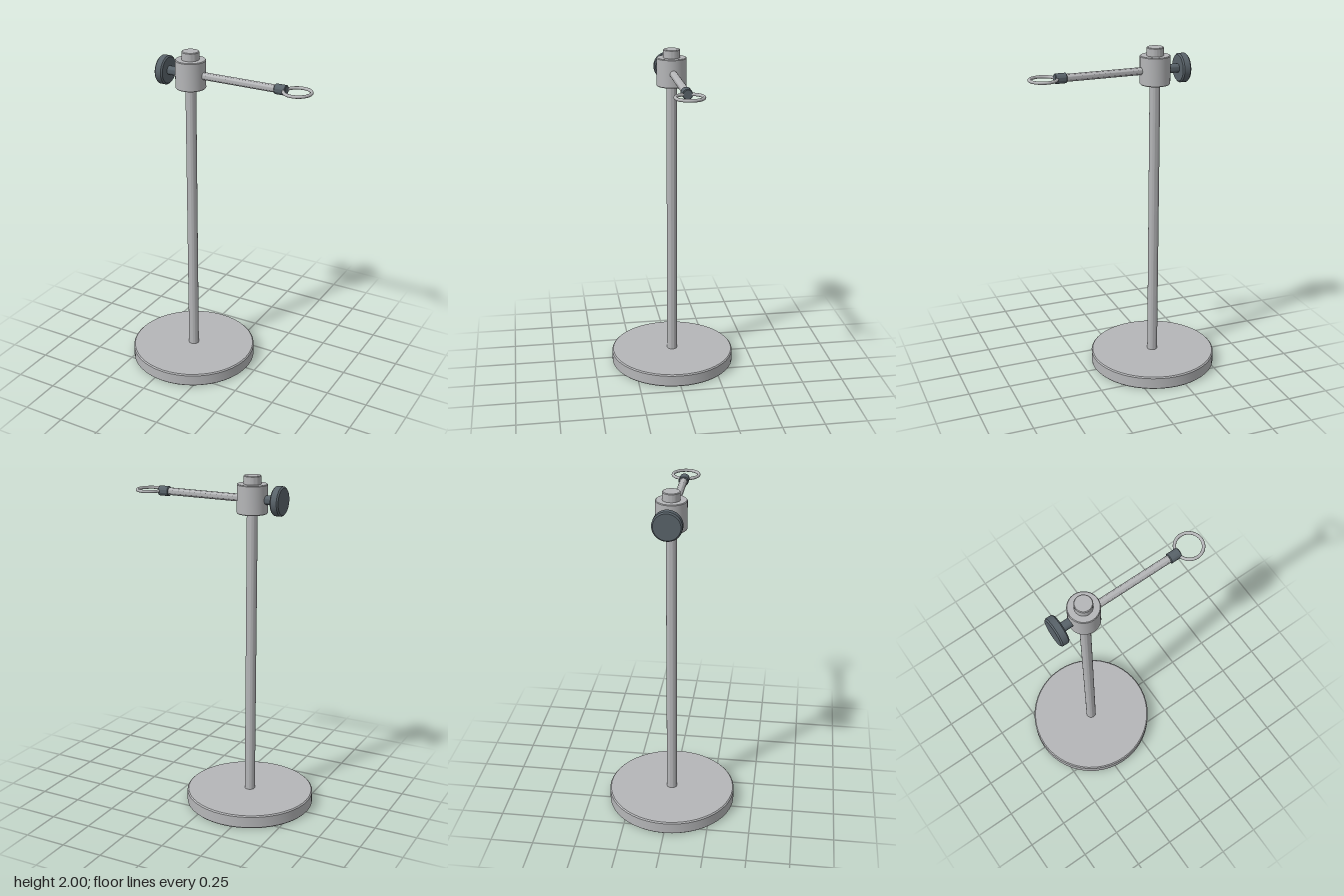
import * as THREE from 'three';
import { toCreasedNormals } from 'three/addons/utils/BufferGeometryUtils.js';

const POST_X = -0.186; // axis of base, post and clamp
const ARM_Y = 1.867; // height of the arm and knob axis

// Solid disc or rod along y from y0 to y1, with small chamfered rims
function turned(radius, y0, y1, bevel, segments = 48) {
  const profile = [
    [0, y0], [radius - bevel, y0], [radius, y0 + bevel],
    [radius, y1 - bevel], [radius - bevel, y1], [0, y1],
  ].map(([r, y]) => new THREE.Vector2(r, y));
  return toCreasedNormals(new THREE.LatheGeometry(profile, segments), 0.6);
}

export function createModel() {
  const model = new THREE.Group();
  model.name = 'ringStand';

  const steel = new THREE.MeshStandardMaterial({ color: 0xb5b6b8 });
  steel.name = 'steel grey';
  const dark = new THREE.MeshStandardMaterial({ color: 0x59636a });
  dark.name = 'dark slate';

  const add = (name, geometry, material, x = 0, y = 0) => {
    const mesh = new THREE.Mesh(geometry, material);
    mesh.name = name;
    mesh.position.set(x, y, 0);
    model.add(mesh);
    return mesh;
  };
  const upright = (name, radius, y0, y1, bevel) =>
    add(name, turned(radius, y0, y1, bevel), steel, POST_X);
  // Turned part lying along x, from x0 to x1
  const sideways = (name, radius, x0, x1, bevel, material) => {
    const half = (x1 - x0) / 2;
    const mesh = add(name, turned(radius, -half, half, bevel), material, (x0 + x1) / 2, ARM_Y);
    mesh.rotation.z = -Math.PI / 2;
  };

  // Base, post, clamp block and the post's cap
  upright('base', 0.383, 0, 0.08, 0.007);
  upright('post', 0.031, 0.07, 1.8, 0.001);
  upright('clamp', 0.088, 1.785, 1.952, 0.004);
  upright('cap', 0.05, 1.945, 2, 0.004);

  // Tightening screw and knob on the right
  sideways('screw', 0.026, -0.335, -0.265, 0.004, dark);
  sideways('knob', 0.084, -0.379, -0.328, 0.008, dark);

  // Arm with a ferrule holding the ring on the left
  sideways('arm', 0.022, -0.12, 0.36, 0.001, steel);
  sideways('ferrule', 0.029, 0.35, 0.418, 0.004, dark);
  const ring = add('ring', new THREE.TorusGeometry(0.077, 0.009, 16, 64), steel, 0.483, ARM_Y);
  ring.rotation.x = Math.PI / 2;

  return model;
}
